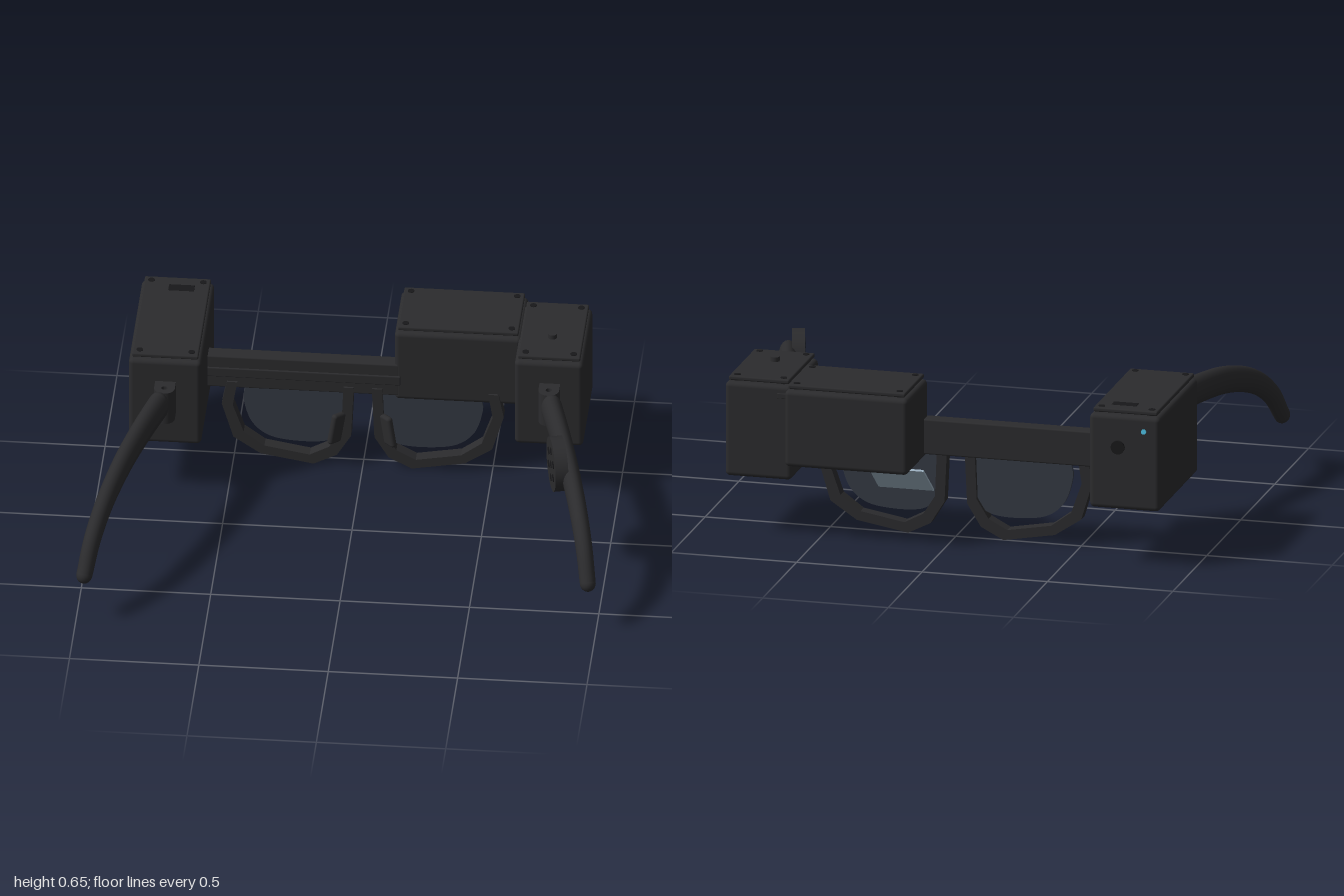
import * as THREE from 'three';
import { RoundedBoxGeometry } from 'three/addons/geometries/RoundedBoxGeometry.js';

const paint = (color, side = THREE.FrontSide) => new THREE.MeshStandardMaterial({ color, side });
const black = paint(0x2b2b2d);
const dark = paint(0x18181a);
const lensTint = paint(0x343943, THREE.DoubleSide);
const glass = paint(0x9fb4c4);
const led = paint(0x4fc3e8);

function add(parent, name, geometry, material = black, x = 0, y = 0, z = 0) {
  const mesh = new THREE.Mesh(geometry, material);
  mesh.name = name;
  mesh.position.set(x, y, z);
  parent.add(mesh);
  return mesh;
}

// Box given by its limits on each axis, with slightly rounded edges
function block(parent, name, [x0, x1], [y0, y1], [z0, z1], radius = 0.018, material = black) {
  const geometry = new RoundedBoxGeometry(x1 - x0, y1 - y0, z1 - z0, 3, radius);
  return add(parent, name, geometry, material, (x0 + x1) / 2, (y0 + y1) / 2, (z0 + z1) / 2);
}

// Electronics case with a raised lid standing on four corner screws
function electronicsCase(parent, name, xs, y0, zs) {
  const group = new THREE.Group();
  group.name = name;
  parent.add(group);
  block(group, 'caseBody', xs, [y0, 0.617], zs);
  const inset = 0.012;
  block(group, 'caseLid', [xs[0] + inset, xs[1] - inset], [0.622, 0.639],
    [zs[0] + inset, zs[1] - inset], 0.006);
  for (const x of [xs[0] + 0.04, xs[1] - 0.04])
    for (const z of [zs[0] + 0.04, zs[1] - 0.04])
      add(group, 'lidScrew', new THREE.CylinderGeometry(0.013, 0.013, 0.034, 16), dark, x, 0.624, z);
  return group;
}

// Tapered oval arm swept along a drooping curve in the local yz plane
function armGeometry() {
  const path = [[0.07, 0.485], [0.26, 0.485], [0.47, 0.465], [0.675, 0.405], [0.81, 0.32], [0.895, 0.215]];
  const curve = new THREE.CatmullRomCurve3(path.map(([z, y]) => new THREE.Vector3(0, y, z)));
  const rows = 48, sides = 20;
  const geometry = new THREE.TubeGeometry(curve, rows, 1, sides);
  const p = geometry.attributes.position;
  for (let i = 0; i <= rows; i++) {
    const t = i / rows;
    const c = curve.getPointAt(t);
    const rx = 0.041 - 0.01 * t;
    const ry = THREE.MathUtils.lerp(0.059, 0.034, t * t);
    for (let j = 0; j <= sides; j++) {
      const k = i * (sides + 1) + j;
      p.setXYZ(k, p.getX(k) * rx, c.y + (p.getY(k) - c.y) * ry, c.z + (p.getZ(k) - c.z) * ry);
    }
  }
  geometry.computeVertexNormals();
  return geometry;
}

function temple(parent, side, z) {
  const pivot = new THREE.Group();
  pivot.name = side > 0 ? 'leftTemple' : 'rightTemple';
  pivot.position.set(side * 0.737, 0, z);
  parent.add(pivot);

  // Hinge bracket with a vertical pin hole
  const shape = new THREE.Shape();
  shape.moveTo(-0.04, -0.06);
  shape.lineTo(0.04, -0.06);
  shape.lineTo(0.04, 0);
  shape.absarc(0, 0, 0.04, 0, Math.PI, false);
  shape.closePath();
  shape.holes.push(new THREE.Path().absarc(0, 0, 0.012, 0, Math.PI * 2, true));
  const hinge = new THREE.ExtrudeGeometry(shape, { depth: 0.14, bevelEnabled: false, curveSegments: 16 });
  add(pivot, 'hinge', hinge.rotateX(Math.PI / 2), black, 0, 0.525, 0);

  // Arm with rounded ends
  const arm = new THREE.Group();
  arm.name = 'arm';
  arm.rotation.y = side * 0.26;
  pivot.add(arm);
  add(arm, 'armTube', armGeometry());
  const ball = new THREE.SphereGeometry(1, 20, 12);
  add(arm, 'armRoot', ball, black, 0, 0.485, 0.07).scale.set(0.041, 0.059, 0.04);
  add(arm, 'armTip', ball, black, 0, 0.215, 0.895).scale.set(0.031, 0.034, 0.034);
  return arm;
}

function eyepiece(parent, side) {
  const points = list => list.map(([x, y]) => new THREE.Vector2(side * x, y));
  // Angular rim, open at the top where it meets the bar
  const outer = [[0.525, 0.36], [0.545, 0.26], [0.5, 0.11], [0.395, 0.04], [0.19, 0.004],
    [0.1, 0.05], [0.045, 0.14], [0.035, 0.36]];
  const inner = [[0.075, 0.36], [0.083, 0.16], [0.13, 0.085], [0.205, 0.045], [0.38, 0.076],
    [0.46, 0.135], [0.502, 0.255], [0.485, 0.36]];
  const rim = new THREE.ExtrudeGeometry(new THREE.Shape(points([...outer, ...inner])),
    { depth: 0.05, bevelEnabled: false });
  add(parent, 'rim', rim, black, 0, 0, -0.502);

  // Lens with a softly curved lower edge
  const lensShape = new THREE.Shape(points([[0.455, 0.325]]));
  lensShape.splineThru(points([[0.462, 0.27], [0.43, 0.17], [0.36, 0.11], [0.25, 0.092],
    [0.14, 0.1], [0.09, 0.14], [0.073, 0.22], [0.073, 0.325]]));
  const lens = new THREE.ExtrudeGeometry(lensShape, { depth: 0.012, bevelEnabled: false });
  add(parent, 'lens', lens, lensTint, 0, 0, -0.485);

  // Nose pad splayed back from the rim
  const pad = add(parent, 'nosePad', new RoundedBoxGeometry(0.026, 0.13, 0.065, 3, 0.012), black,
    side * 0.1, 0.185, -0.435);
  pad.rotation.set(-0.2, -side * -0.65, side * 0.2);
}

export function createModel() {
  const model = new THREE.Group();
  model.name = 'smartGlasses';

  // Cross bar with a raised rail
  block(model, 'bar', [-0.62, 0.14], [0.33, 0.47], [-0.522, -0.46], 0.006);
  block(model, 'barRail', [-0.62, 0.145], [0.38, 0.42], [-0.48, -0.454], 0.004);
  for (const side of [-1, 1]) eyepiece(model, side);

  // Battery case with its slot, knob and light
  const battery = electronicsCase(model, 'batteryCase', [-0.88, -0.6], 0.24, [-0.755, -0.182]);
  block(battery, 'lidSlot', [-0.77, -0.67], [0.63, 0.6405], [-0.69, -0.648], 0.002, dark);
  const disc = r => new THREE.CylinderGeometry(r, r, 0.02, 24).rotateX(Math.PI / 2);
  add(battery, 'knob', disc(0.027), dark, -0.715, 0.49, -0.754);
  add(battery, 'statusLight', disc(0.01), led, -0.818, 0.56, -0.751);

  // Display case, connector pin and side case with a button
  const display = electronicsCase(model, 'displayCase', [0.122, 0.612], 0.312, [-0.768, -0.46]);
  block(display, 'connectorPin', [0.6, 0.645], [0.58, 0.6], [-0.755, -0.747], 0.002);
  const control = electronicsCase(model, 'controlCase', [0.6, 0.865], 0.24, [-0.71, -0.302]);
  add(control, 'button', new THREE.CylinderGeometry(0.018, 0.018, 0.03, 20), black, 0.733, 0.642, -0.455);

  // Slanted reflector plate below the display case
  const plate = add(model, 'reflector', new THREE.BoxGeometry(0.22, 0.008, 0.195), glass, 0.19, 0.252, -0.605);
  plate.rotation.x = 0.665;

  // Temples; the left one carries a round speaker on its inner face
  temple(model, -1, -0.135);
  const leftArm = temple(model, 1, -0.255);
  const speaker = new THREE.Group();
  speaker.name = 'speaker';
  speaker.position.set(-0.04, 0.472, 0.435);
  speaker.rotation.z = Math.PI / 2;
  leftArm.add(speaker);
  add(speaker, 'speakerBody', new THREE.CylinderGeometry(0.107, 0.107, 0.05, 40));
  const hole = new THREE.CylinderGeometry(0.015, 0.015, 0.004, 16);
  for (let i = 0; i < 6; i++) {
    const a = i * Math.PI / 3;
    add(speaker, 'speakerHole', hole, dark, 0.06 * Math.cos(a), 0.025, 0.06 * Math.sin(a));
  }
  add(speaker, 'speakerHole', hole, dark, 0, 0.025, 0);

  return model;
}
